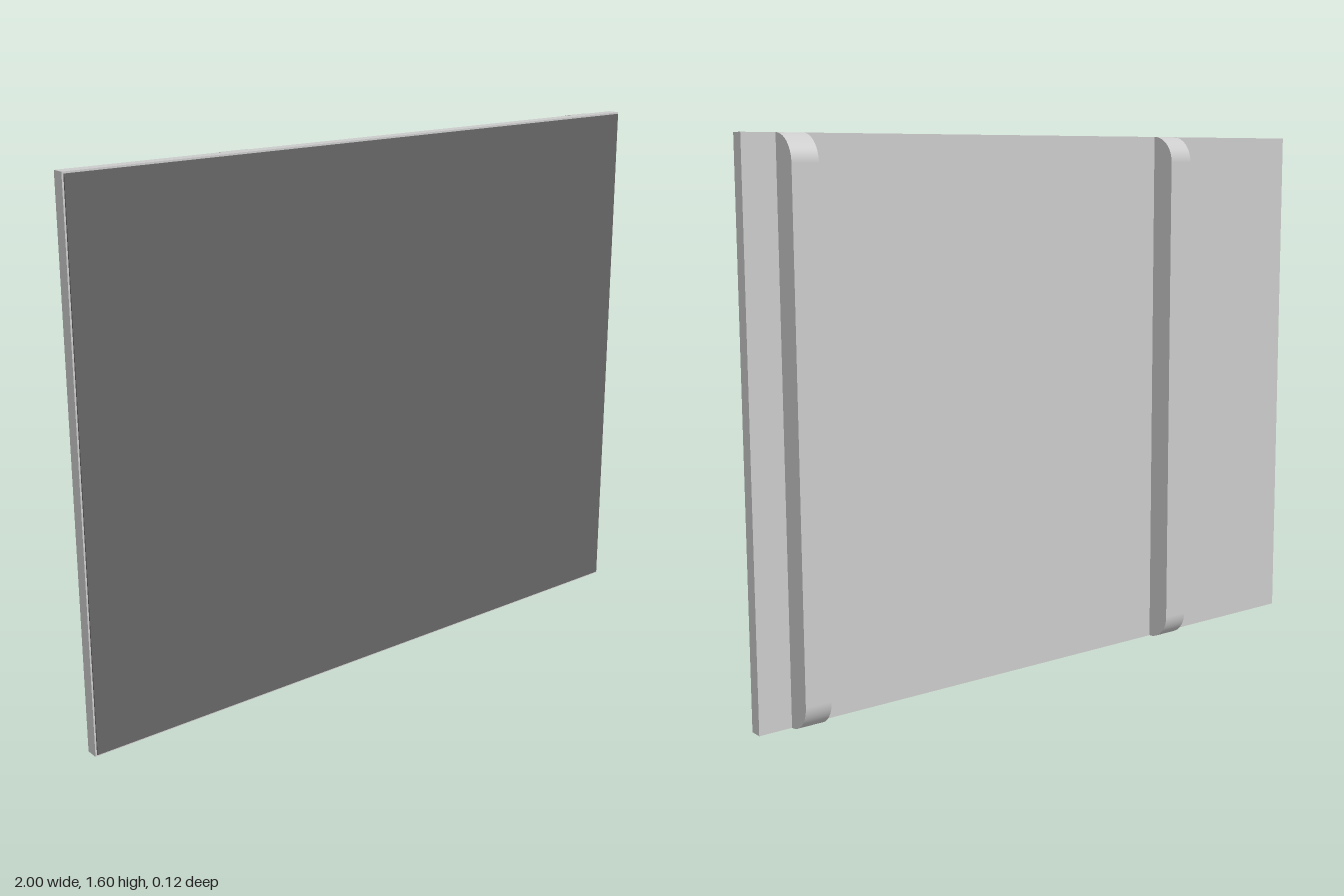
import * as THREE from 'three';

const W = 2, H = 1.6;          // panel size
const BACK = -0.06, MID = 0.018, FRONT = 0.06;
const SKIN = 0.004;            // thickness of the dark front sheet

export function createModel() {
  const group = new THREE.Group();
  const grey = new THREE.MeshStandardMaterial({ color: 0xcccccc });
  const dark = new THREE.MeshStandardMaterial({ color: 0x666666 });

  const add = (name, geometry, material, x, y, z) => {
    const mesh = new THREE.Mesh(geometry, material);
    mesh.name = name;
    mesh.position.set(x, y, z);
    group.add(mesh);
  };

  // Flat board
  const depth = FRONT - SKIN - MID;
  add('panel', new THREE.BoxGeometry(W, H, depth), grey, 0, H / 2, MID + depth / 2);

  // Thin dark sheet on the front, slightly inset
  add('frontSheet', new THREE.BoxGeometry(W - 0.01, H - 0.01, SKIN), dark, 0, H / 2, FRONT - SKIN / 2);

  // Upright battens on the back: side profile with rounded outer corners
  const r = MID - BACK, width = 0.08;
  const profile = new THREE.Shape();
  profile.moveTo(0, 0);
  profile.absarc(0, r, r, -Math.PI / 2, 0, false);
  profile.absarc(0, H - r, r, 0, Math.PI / 2, false);
  profile.closePath();
  const batten = new THREE.ExtrudeGeometry(profile, { depth: width, bevelEnabled: false, curveSegments: 16 });
  // Smooth the rounded rim, whose normals follow the distance from the arc centres
  const pos = batten.attributes.position, nor = batten.attributes.normal;
  for (let i = 0; i < pos.count; i++) {
    if (Math.abs(nor.getZ(i)) > 0.5 || nor.getX(i) < -0.5) continue;
    const y = pos.getY(i);
    const n = new THREE.Vector2(pos.getX(i), y - THREE.MathUtils.clamp(y, r, H - r)).normalize();
    nor.setXYZ(i, n.x, n.y, 0);
  }
  batten.rotateY(Math.PI / 2); // profile depth now points to -z, width to +x

  [['rightBatten', -0.46], ['leftBatten', 0.86]].forEach(([name, x]) =>
    add(name, batten, grey, x - width / 2, 0, MID));

  return group;
}
